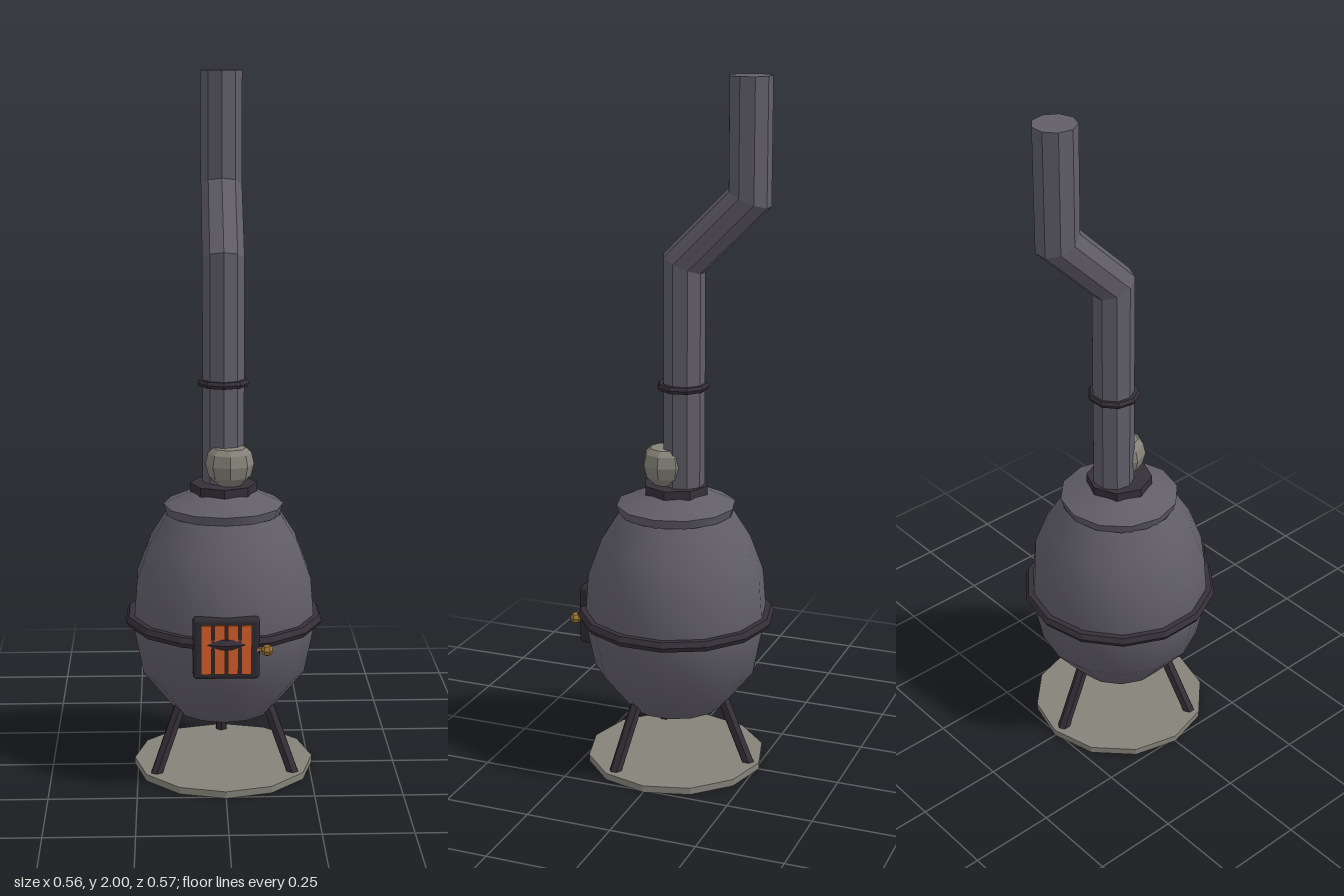
import * as THREE from 'three';
import { RoundedBoxGeometry } from 'three/addons/geometries/RoundedBoxGeometry.js';

const colour = (name, hex) => {
  const m = new THREE.MeshStandardMaterial({ color: hex });
  m.name = name;
  return m;
};

// Facet a geometry with hard edges
function facet(geometry) {
  const g = geometry.index ? geometry.toNonIndexed() : geometry;
  g.computeVertexNormals();
  return g;
}

const lathe = (points, sides) =>
  new THREE.LatheGeometry(points.map(([r, y]) => new THREE.Vector2(r, y)), sides);

// Ring with a hexagonal section, lying flat, with a corner facing the front
function hoop(radius, tube, sides) {
  const points = [];
  for (let i = 0; i <= 6; i++) {
    const a = (i / 6) * Math.PI * 2;
    points.push([radius + tube * Math.cos(a), tube * Math.sin(a)]);
  }
  return facet(lathe(points, sides));
}

// Mitred pipe: each station is [y, z, tilt of the joint]
function pipe(stations, radius, sides) {
  const pos = [];
  const corner = ([y, z, tilt], i) => {
    const a = (i / sides) * Math.PI * 2;
    const dz = radius * Math.cos(a);
    return [radius * Math.sin(a), y + tilt * dz, z + dz];
  };
  const last = stations[stations.length - 1];
  for (let i = 0; i < sides; i++) {
    for (let s = 0; s < stations.length - 1; s++) {
      const a = corner(stations[s], i), b = corner(stations[s], i + 1);
      const c = corner(stations[s + 1], i + 1), d = corner(stations[s + 1], i);
      pos.push(...a, ...b, ...c, ...a, ...c, ...d);
    }
    pos.push(0, last[0], last[1], ...corner(last, i), ...corner(last, i + 1));
  }
  const g = new THREE.BufferGeometry();
  g.setAttribute('position', new THREE.Float32BufferAttribute(pos, 3));
  g.computeVertexNormals();
  return g;
}

export function createModel() {
  const model = new THREE.Group();
  model.name = 'potBellyStove';

  const iron = colour('castIron', 0x615e68);
  const dark = colour('darkIron', 0x362f38);
  const black = colour('blackIron', 0x2e2c32);
  const stone = colour('paleStone', 0x858379);
  const ember = colour('emberOrange', 0xd9602a);
  const brass = colour('brass', 0xa27a36);

  const add = (name, geometry, material, x = 0, y = 0, z = 0, parent = model) => {
    const mesh = new THREE.Mesh(geometry, material);
    mesh.name = name;
    mesh.position.set(x, y, z);
    parent.add(mesh);
    return mesh;
  };

  // Floor plate
  add('basePlate', facet(new THREE.CylinderGeometry(0.26, 0.26, 0.02, 12)), stone, 0, 0.01, 0);

  // Three splayed legs: one behind, two in front
  const up = new THREE.Vector3(0, 1, 0);
  for (const angle of [Math.PI, Math.PI / 3, -Math.PI / 3]) {
    const dir = new THREE.Vector3(Math.sin(angle), 0, Math.cos(angle));
    const foot = dir.clone().multiplyScalar(0.228).setY(0.012);
    const hip = dir.clone().multiplyScalar(0.145).setY(0.21);
    const span = hip.clone().sub(foot);
    const leg = add('leg', facet(new THREE.CylinderGeometry(0.018, 0.018, span.length(), 6)), dark);
    leg.position.copy(foot).add(hip).multiplyScalar(0.5);
    leg.quaternion.setFromUnitVectors(up, span.normalize());
  }

  // Bellied body with closed underside
  add('body', lathe([[0.142, 0.18], [0.237, 0.3], [0.265, 0.44], [0.254, 0.58],
    [0.215, 0.685], [0.165, 0.765]], 14), iron);
  const underside = add('bodyUnderside', new THREE.CircleGeometry(0.142, 14), iron, 0, 0.18, 0);
  underside.rotation.set(Math.PI / 2, 0, Math.PI / 2);
  add('bellyBand', hoop(0.27, 0.017, 14), dark, 0, 0.457, 0);

  // Lid: short skirt, sloping top and flue collar
  add('lidSkirt', new THREE.CylinderGeometry(0.172, 0.16, 0.035, 12), iron, 0, 0.772, 0);
  add('lidTop', new THREE.CylinderGeometry(0.09, 0.172, 0.037, 12), iron, 0, 0.808, 0);
  add('flueCollar', facet(new THREE.CylinderGeometry(0.095, 0.095, 0.026, 8)), dark, 0, 0.837, 0);

  // Stove pipe with two bends
  const miter = Math.tan(Math.PI / 8);
  add('stovePipe', pipe([[0.84, -0.023, 0], [1.485, -0.023, miter],
    [1.675, -0.212, miter], [2, -0.212, 0]], 0.06, 9), iron);
  add('pipeRing', hoop(0.064, 0.011, 9), dark, 0, 1.137, -0.02);

  // Small pot on the collar
  add('pot', facet(lathe([[0, 0.85], [0.035, 0.85], [0.06, 0.875], [0.069, 0.91],
    [0.062, 0.942], [0.047, 0.957], [0, 0.957]], 8)), stone, 0.017, 0, 0.024);

  // Fire door with glowing slots and a brass knob
  const door = new THREE.Group();
  door.name = 'fireDoor';
  model.add(door);
  add('doorFrame', new RoundedBoxGeometry(0.185, 0.175, 0.05, 2, 0.012), black, 0, 0.442, 0.244, door);
  for (let i = 0; i < 4; i++) {
    add('glowingSlot', new THREE.BoxGeometry(0.028, 0.14, 0.009), ember, (i - 1.5) * 0.037, 0.442, 0.27, door);
  }
  add('doorKnob', facet(new THREE.SphereGeometry(0.017, 6, 4)), brass, 0.112, 0.44, 0.27, door);
  add('knobStem', new THREE.BoxGeometry(0.03, 0.01, 0.012), brass, 0.098, 0.44, 0.262, door);

  return model;
}
